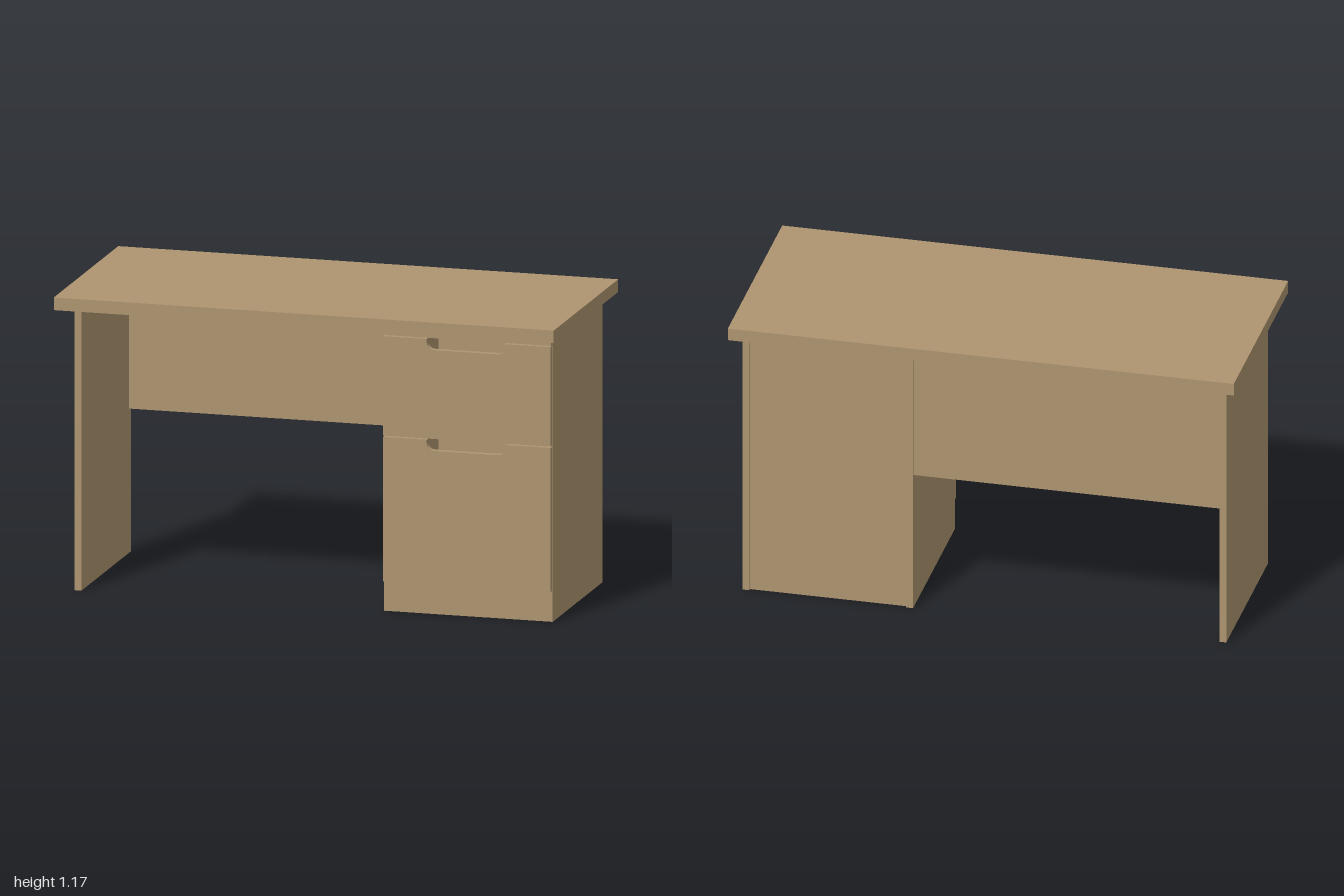
import * as THREE from 'three';

export function createModel() {
  const desk = new THREE.Group();
  desk.name = 'desk';
  const wood = new THREE.MeshStandardMaterial({ color: 0xae9571 });
  wood.name = 'wood';

  const add = (name, geometry) => {
    const mesh = new THREE.Mesh(geometry, wood);
    mesh.name = name;
    desk.add(mesh);
    return mesh;
  };
  // Board given by its extents on each axis
  const board = (name, [x0, x1], [y0, y1], [z0, z1]) =>
    add(name, new THREE.BoxGeometry(x1 - x0, y1 - y0, z1 - z0))
      .position.set((x0 + x1) / 2, (y0 + y1) / 2, (z0 + z1) / 2);

  const T = 0.027;                 // board thickness
  const under = 1.125;             // underside of the desktop
  const back = -0.342, front = 0.347, face = 0.371;
  const cabL = 0.293, cabR = 0.967;
  const backBoard = [-0.332, -0.31];

  board('desktop', [-1, 1], [under, 1.175], [-0.447, 0.447]);
  board('legPanel', [-0.945, -0.945 + T], [0, under], [back, front]);
  board('modestyPanel', [-0.945 + T, cabL], [0.57, under], backBoard);

  // Cabinet carcass, open underneath behind the plinth
  const inner = [cabL + T, cabR - T];
  board('cabinetInnerSide', [cabL, cabL + T], [0, under], [back, front]);
  board('cabinetOuterSide', [cabR - T, cabR], [0, under], [back, front]);
  board('cabinetBack', inner, [0, under - 0.03], backBoard);
  board('cabinetTop', inner, [under - 0.03, under], [back, front]);
  board('cabinetTopRail', [cabL, cabR], [under - 0.03, under], [front, face]);
  board('cabinetFloor', inner, [0.123, 0.123 + T], [-0.31, front]);
  board('plinth', inner, [0, 0.123], [front - T, front]);

  // Drawer front with a rounded finger notch in its top edge
  const drawerFront = (name, y0, y1) => {
    const a = cabL + 0.002, b = cabR - 0.002;
    const n0 = 0.47, n1 = 0.783, low = y1 - 0.042, r = 0.03;
    const s = new THREE.Shape();
    s.moveTo(a, y0);
    s.lineTo(b, y0);
    s.lineTo(b, y1);
    s.lineTo(n1, y1);
    s.lineTo(n1, low + r);
    s.absarc(n1 - r, low + r, r, 0, -Math.PI / 2, true);
    s.lineTo(n0 + r, low);
    s.absarc(n0 + r, low + r, r, -Math.PI / 2, -Math.PI, true);
    s.lineTo(n0, y1);
    s.lineTo(a, y1);
    s.closePath();
    const geometry = new THREE.ExtrudeGeometry(s, { depth: face - front, bevelEnabled: false, curveSegments: 8 });
    add(name, geometry).position.z = front;
  };
  drawerFront('lowerDrawerFront', 0.122, 0.692);
  drawerFront('upperDrawerFront', 0.697, 1.09);

  return desk;
}
